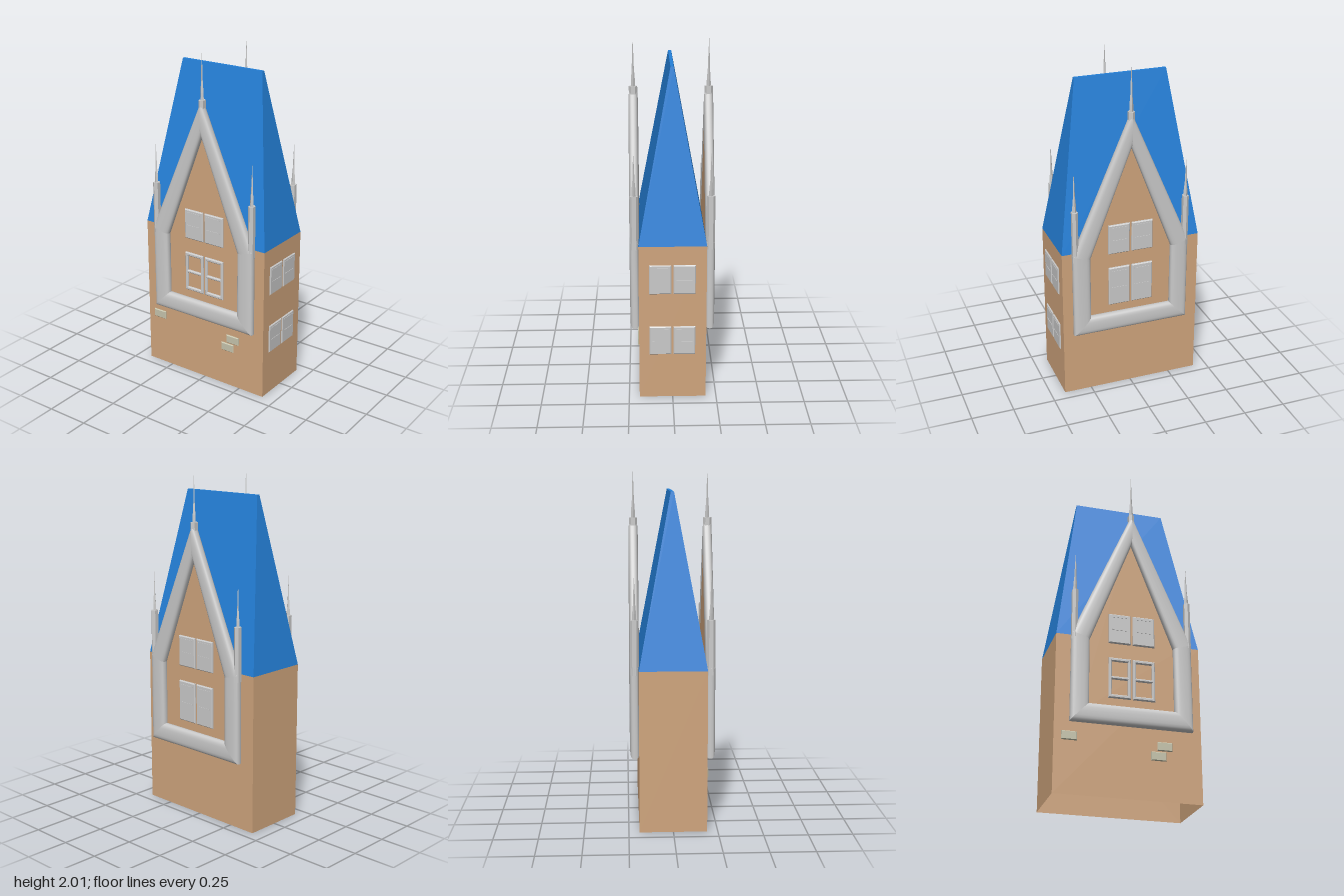
import * as THREE from 'three';

const mat = (name, color, side = THREE.FrontSide, flatShading = false) =>
  Object.assign(new THREE.MeshStandardMaterial({ color, side, flatShading }), { name });

// Four sloping faces between two rectangles [x0, x1, halfDepth], optionally capped
function frustum(low, high, y0, y1, cap) {
  const ring = ([x0, x1, d], y) => [[x0, y, d], [x1, y, d], [x1, y, -d], [x0, y, -d]];
  const a = ring(low, y0), b = ring(high, y1), pos = [];
  const quad = (p, q, r, s) => pos.push(...p, ...q, ...r, ...p, ...r, ...s);
  for (let i = 0; i < 4; i++) {
    const j = (i + 1) % 4;
    quad(a[i], a[j], b[j], b[i]);
  }
  if (cap) quad(...b);
  const g = new THREE.BufferGeometry();
  g.setAttribute('position', new THREE.Float32BufferAttribute(pos, 3));
  g.computeVertexNormals();
  return g;
}

// Rounded moulding running round a polygon, mitred at each corner
function moulding(outer, inner, z, halfDepth, steps = 20) {
  const pos = [], idx = [], soft = (v) => Math.sign(v) * Math.abs(v) ** 0.7;
  const addRing = (k) => {
    for (let i = 0; i < steps; i++) {
      const a = (i / steps) * Math.PI * 2, t = 0.5 - 0.5 * soft(Math.cos(a));
      pos.push(
        outer[k][0] + (inner[k][0] - outer[k][0]) * t,
        outer[k][1] + (inner[k][1] - outer[k][1]) * t,
        z + halfDepth * soft(Math.sin(a)));
    }
  };
  for (let k = 0; k < outer.length; k++) {
    const a = pos.length / 3, b = a + steps;
    addRing(k);
    addRing((k + 1) % outer.length);
    for (let i = 0; i < steps; i++) {
      const j = (i + 1) % steps;
      idx.push(a + i, b + i, b + j, a + i, b + j, a + j);
    }
  }
  const g = new THREE.BufferGeometry();
  g.setAttribute('position', new THREE.Float32BufferAttribute(pos, 3));
  g.setIndex(idx);
  g.computeVertexNormals();
  return g;
}

const rectPath = (Kind, x, y, w, h) => {
  const p = new Kind();
  p.moveTo(x - w / 2, y - h / 2);
  p.lineTo(x + w / 2, y - h / 2);
  p.lineTo(x + w / 2, y + h / 2);
  p.lineTo(x - w / 2, y + h / 2);
  p.closePath();
  return p;
};

export function createModel() {
  const model = new THREE.Group();
  model.name = 'gabledTower';
  const wall = mat('tan wall', 0xd0a57d, THREE.DoubleSide);
  const roofBlue = mat('blue roof', 0x2480d8, THREE.DoubleSide);
  const trim = mat('light grey trim', 0xcacaca);
  const trimFlat = mat('light grey spire', 0xcacaca, THREE.FrontSide, true);
  const stone = mat('pale stone', 0xc6c4ac);

  const add = (parent, name, geometry, material, x = 0, y = 0, z = 0) => {
    const m = new THREE.Mesh(geometry, material);
    m.name = name;
    m.position.set(x, y, z);
    parent.add(m);
    return m;
  };

  // Pair of casements; open ones show the wall through two lights each
  function windowPair(name, w, h, depth, open) {
    const pair = new THREE.Group();
    pair.name = name;
    const bevel = 0.005;
    for (const side of [-1, 1]) {
      const x = side * (w / 2 + 0.006);
      const shape = rectPath(THREE.Shape, 0, 0, w - 2 * bevel, h - 2 * bevel);
      if (open) {
        for (const s of [-1, 1]) {
          shape.holes.push(rectPath(THREE.Path, 0, s * h * 0.225, w * 0.8, h * 0.42));
        }
      }
      const g = new THREE.ExtrudeGeometry(shape, {
        depth: depth - bevel, bevelEnabled: true, bevelSize: bevel,
        bevelThickness: bevel, bevelSegments: 1,
      });
      add(pair, 'casement', g, trim, x);
      // Narrow glazing bars on the closed casements
      if (!open) {
        for (const y of [-0.04, 0.4]) {
          add(pair, 'glazingBar', new THREE.BoxGeometry(w * 0.72, 0.006, 0.003), trim, x, y * h, depth + 0.001);
        }
      }
    }
    return pair;
  }

  // Body, open underneath, and steep hipped roof
  const foot = [-0.42, 0.415, 0.19];
  add(model, 'walls', frustum(foot, foot, 0, 0.92, false), wall);
  add(model, 'roof', frustum(foot, [-0.275, 0.265, 0.009], 0.92, 1.89, true), roofBlue);

  // Gable outline, counter-clockwise
  const outer = [[-0.35, 0.4], [0.35, 0.4], [0.35, 0.92], [0, 1.73], [-0.35, 0.92]];
  const inner = [[-0.245, 0.51], [0.245, 0.51], [0.245, 0.89], [0, 1.53], [-0.245, 0.89]];
  const middle = outer.map((p, i) => new THREE.Vector2((p[0] + inner[i][0]) / 2, (p[1] + inner[i][1]) / 2));

  // Six-sided post with a tapering four-sided spire
  function pinnacle(y0, y1) {
    const g = new THREE.Group();
    g.name = 'pinnacle';
    const post = add(g, 'post', new THREE.CylinderGeometry(0.024, 0.024, y1 - y0, 6), trimFlat, 0, (y0 + y1) / 2);
    post.scale.x = 0.8;
    const profile = [[0.012, 0], [0.011, 0.04], [0.006, 0.1], [0.004, 0.18], [0, 0.27]]
      .map(([r, y]) => new THREE.Vector2(r, y));
    const spire = add(g, 'spire', new THREE.LatheGeometry(profile, 4), trimFlat, 0, y1);
    if (y1 < 1.5) spire.scale.y = 0.9;
    return g;
  }

  function gable(name, openLower) {
    const g = new THREE.Group();
    g.name = name;
    add(g, 'gablePanel', new THREE.ExtrudeGeometry(new THREE.Shape(middle), { depth: 0.012, bevelEnabled: false }),
      wall, 0, 0, 0.19);
    add(g, 'gableFrame', moulding(outer, inner, 0.213, 0.027), trim);
    for (const [x, y0, y1] of [[-0.333, 0.88, 1.19], [0.333, 0.88, 1.19], [0, 1.62, 1.735]]) {
      const p = pinnacle(y0, y1);
      p.position.set(x, 0, 0.213);
      g.add(p);
    }
    const lower = windowPair('lowerWindow', 0.128, 0.24, 0.012, openLower);
    lower.position.set(0.002, 0.68, 0.202);
    const upper = windowPair('upperWindow', 0.128, 0.18, 0.012, false);
    upper.position.set(0.002, 0.98, 0.202);
    g.add(lower, upper);
    g.position.x = 0.01;
    return g;
  }

  model.add(gable('frontGable', true));
  const back = gable('backGable', false);
  back.rotation.y = Math.PI;
  model.add(back);

  // Windows on the side wall
  for (const y of [0.355, 0.725]) {
    const w = windowPair('sideWindow', 0.124, 0.172, 0.007, false);
    w.rotation.y = Math.PI / 2;
    w.position.set(0.415, y, 0.002);
    model.add(w);
  }

  // Loose stones showing in the front wall
  for (const [x, y] of [[-0.335, 0.325], [0.203, 0.31], [0.167, 0.252]]) {
    const g = new THREE.ExtrudeGeometry(rectPath(THREE.Shape, 0, 0, 0.078, 0.042), {
      depth: 0.01, bevelEnabled: true, bevelSize: 0.004, bevelThickness: 0.004, bevelSegments: 1,
    });
    add(model, 'wallStone', g, stone, x, y, 0.184);
  }
  return model;
}
